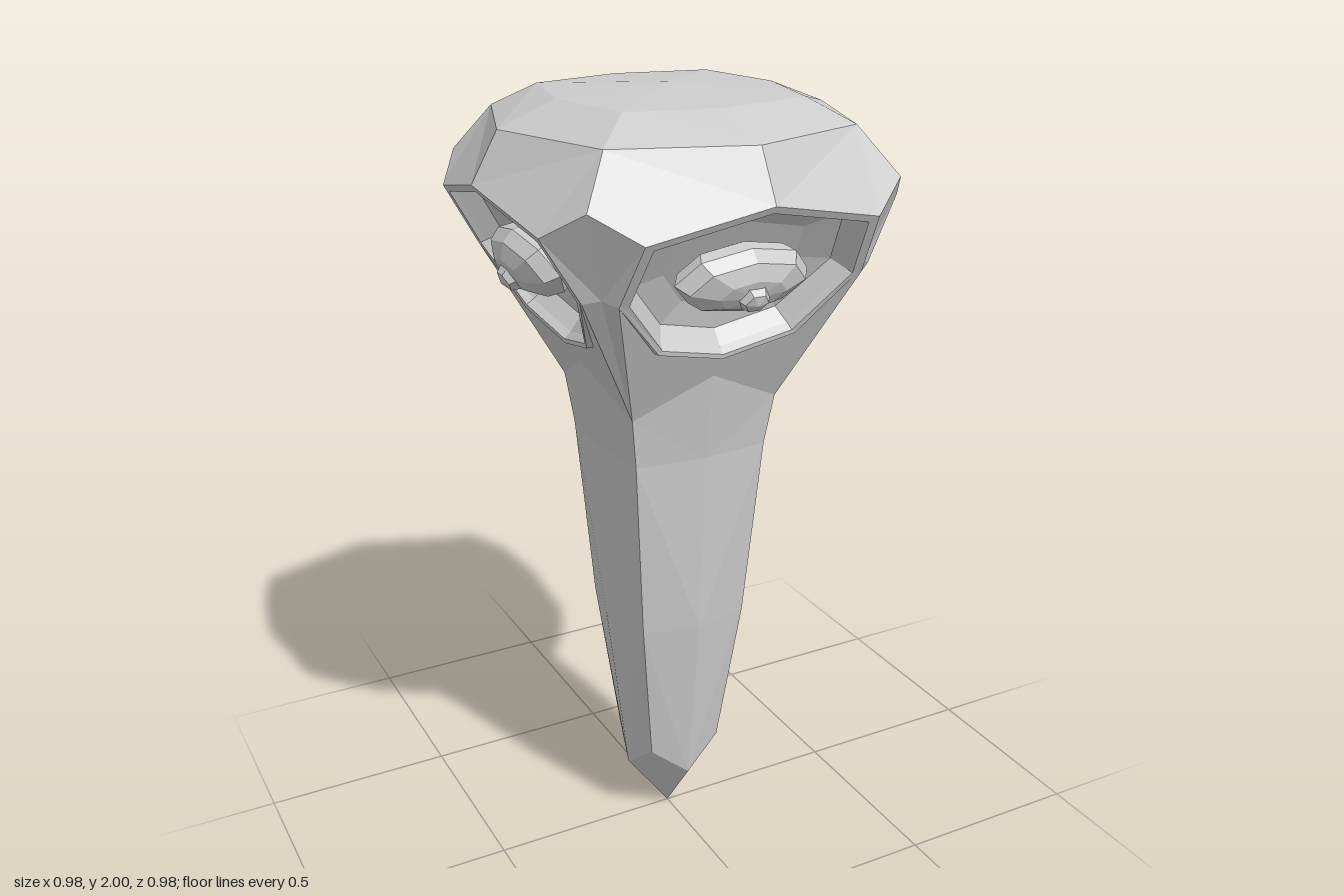
import * as THREE from 'three';

const material = new THREE.MeshStandardMaterial({ color: 0xcccccc, flatShading: true });
const TILT = Math.PI / 6;              // sockets lean out and face downwards
const CENTRE = new THREE.Vector3(0, 1.6, 0.37);

// Socket rim in its own plane, from bottom middle up one side to top middle
const rim = [[0, -0.219], [0.185, -0.167], [0.31, 0], [0.29, 0.173], [0, 0.242]];
const rimLoop = [...rim, ...rim.slice(1, 4).reverse().map(([x, v]) => [-x, v])];

function toGeometry(triangles) {
  const geometry = new THREE.BufferGeometry();
  geometry.setAttribute('position', new THREE.Float32BufferAttribute(triangles.flat(2), 3));
  geometry.computeVertexNormals();
  return geometry;
}

function addMesh(parent, geometry, name) {
  const mesh = new THREE.Mesh(geometry, material);
  mesh.name = name;
  parent.add(mesh);
  return mesh;
}

// Half of one side (x >= 0, facing +z), mirrored to a full side
function sideGeometry() {
  const [r0, r1, r2, r3, r4] = rim.map(([x, v]) =>
    new THREE.Vector3(x, v, 0).applyAxisAngle(new THREE.Vector3(1, 0, 0), TILT).add(CENTRE).toArray());
  const mid = (y, z) => [0, y, z];
  const corner = (y, d) => [d, y, d];
  const faces = [];

  // Tapering stem, from the pointed tip to the neck
  const mids = [mid(0.17, 0.122), mid(0.65, 0.18), mid(1.13, 0.198), mid(1.355, 0.235)];
  const corners = [corner(0.25, 0.1), corner(0.65, 0.145), corner(1.13, 0.178), corner(1.26, 0.195)];
  faces.push([[0, 0, 0], corners[0], mids[0]]);
  for (let i = 0; i < 3; i++) faces.push([mids[i], corners[i], corners[i + 1], mids[i + 1]]);

  // Flare below the socket and the ridge between neighbouring sockets
  const ridge = corner(1.61, 0.335), browCorner = corner(1.815, 0.39);
  faces.push(
    [mids[3], corners[3], r1, r0],
    [corners[3], ridge, r2, r1],
    [ridge, r3, r2],
    [ridge, browCorner, r3]);

  // Brow and shallow domed cap
  const bMid = mid(1.926, 0.425), bCorner = corner(1.926, 0.315);
  const aMid = mid(1.982, 0.28), aCorner = corner(1.982, 0.23);
  faces.push(
    [r3, browCorner, bCorner],
    [r4, r3, bCorner, bMid],
    [bMid, bCorner, aCorner, aMid],
    [aMid, aCorner, [0, 2, 0]]);

  const triangles = [];
  const flip = ([x, y, z]) => [-x, y, z];
  for (const f of faces) {
    for (let i = 1; i < f.length - 1; i++) {
      triangles.push([f[0], f[i], f[i + 1]], [f[0], f[i + 1], f[i]].map(flip));
    }
  }
  return toGeometry(triangles);
}

// Recessed bowl: the rim outline shrunk and pushed in, with a raised lower lip
function socketGeometry() {
  const steps = [[1, 0, 0], [0.97, 0, 0.014], [0.92, 0, 0.01], [0.9, -0.012, 0],
    [0.82, -0.055, 0], [0.55, -0.075, 0], [0, -0.075, 0]];
  const rings = steps.map(([s, depth, lip]) =>
    rimLoop.map(([x, v]) => [x * s, v * s, depth + (v < 0 ? lip : 0)]));
  const triangles = [];
  const n = rimLoop.length;
  for (let i = 0; i < rings.length - 1; i++) {
    for (let j = 0; j < n; j++) {
      const k = (j + 1) % n;
      const a = rings[i][j], b = rings[i][k], c = rings[i + 1][k], d = rings[i + 1][j];
      triangles.push([a, b, c], [a, c, d]);
    }
  }
  return toGeometry(triangles);
}

// Low-poly ellipsoid with its pole facing forwards
function ball(sides, rows, x, y, z) {
  return new THREE.SphereGeometry(1, sides, rows).rotateX(Math.PI / 2).scale(x, y, z);
}

export function createModel() {
  const model = new THREE.Group();
  model.name = 'fourSidedHead';
  const side = sideGeometry();
  const socket = socketGeometry();
  const eyeball = ball(8, 6, 0.17, 0.085, 0.07);
  const pupil = ball(6, 4, 0.042, 0.036, 0.03);

  // Four identical sides around the vertical axis
  for (let i = 0; i < 4; i++) {
    const quarter = new THREE.Group();
    quarter.name = 'side';
    quarter.rotation.y = i * Math.PI / 2;
    addMesh(quarter, side, 'headAndStem');

    const eye = new THREE.Group();
    eye.name = 'eye';
    eye.position.copy(CENTRE);
    eye.rotation.x = TILT;
    addMesh(eye, socket, 'eyeSocket');
    addMesh(eye, eyeball, 'eyeball').position.set(0, 0.015, -0.025);
    addMesh(eye, pupil, 'pupil').position.set(0, 0.01, 0.035);
    quarter.add(eye);
    model.add(quarter);
  }
  return model;
}
